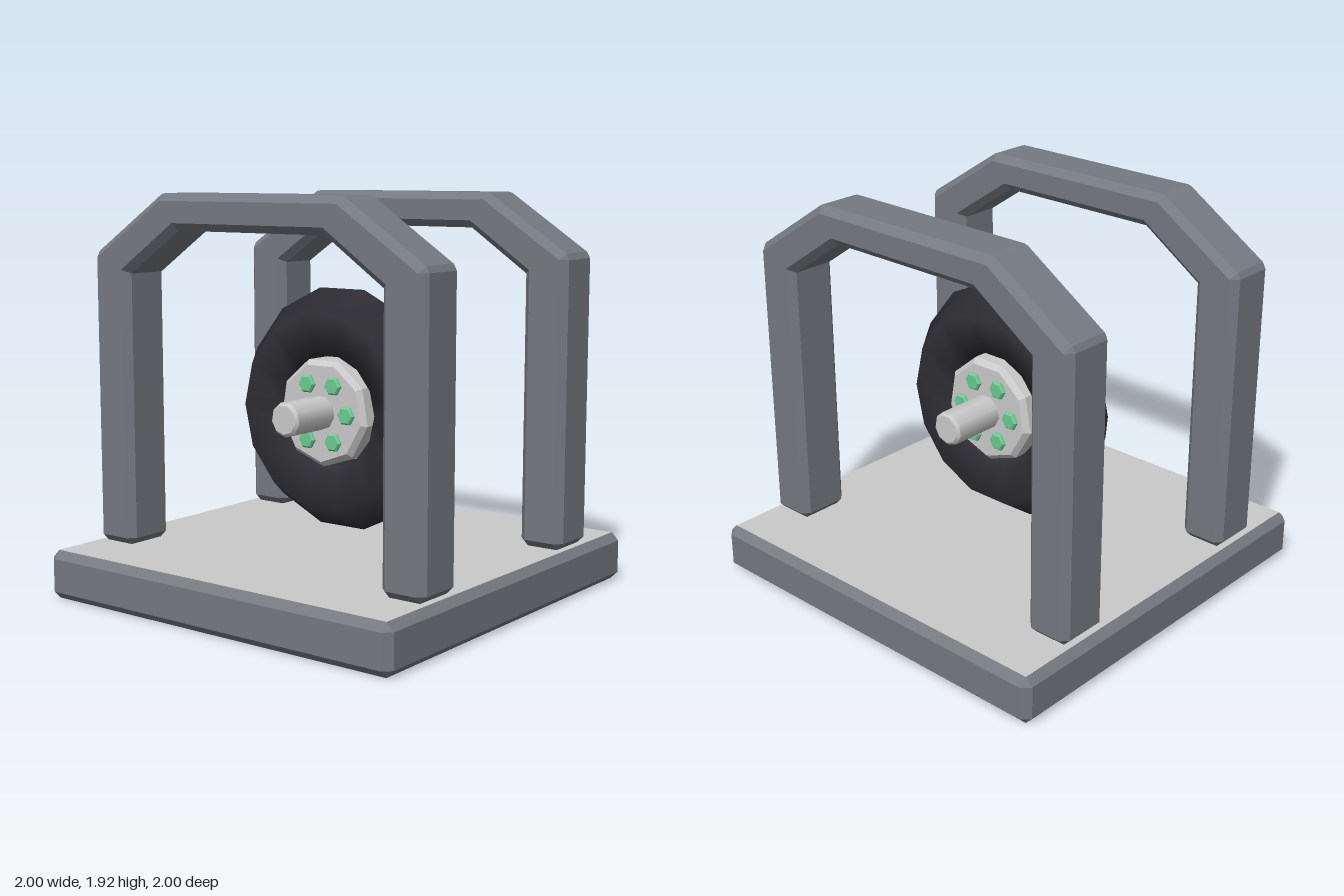
import * as THREE from 'three';
import { mergeGeometries } from 'three/addons/utils/BufferGeometryUtils.js';

const makeMaterial = (name, color) => {
  const m = new THREE.MeshStandardMaterial({ color });
  m.name = name;
  return m;
};

// Prism along z with every edge chamfered by b. The counter-clockwise outline is
// that of the flat caps; group 0 holds the caps, group 1 the sides and chamfers.
function bevelledPrism(outline, depth, b) {
  const pts = outline.map(([x, y]) => new THREE.Vector2(x, y));
  const n = pts.length, d = depth / 2, side = d - b;
  const normals = pts.map((p, i) => {
    const e = pts[(i + 1) % n].clone().sub(p).normalize();
    return new THREE.Vector2(e.y, -e.x);
  });
  // Convex corners split in two, concave corners stay mitred
  const corners = pts.map((p, i) => {
    const a = normals[(i + n - 1) % n], c = normals[i];
    if (a.cross(c) > 0) return [p.clone().addScaledVector(a, b), p.clone().addScaledVector(c, b)];
    const m = p.clone().addScaledVector(a.clone().add(c), b / (1 + a.dot(c)));
    return [m, m];
  });
  const pos = [];
  const tri = (...v) => v.forEach(([p, z]) => pos.push(p.x, p.y, z));
  const quad = (a, c, e, f) => { tri(a, c, e); tri(a, e, f); };

  for (const [i, j, k] of THREE.ShapeUtils.triangulateShape(pts, [])) {
    tri([pts[i], d], [pts[j], d], [pts[k], d]);
    tri([pts[k], -d], [pts[j], -d], [pts[i], -d]);
  }
  const capCount = pos.length / 3;
  for (let i = 0; i < n; i++) {
    const j = (i + 1) % n, p = pts[i], q = pts[j];
    const a = corners[i][1], c = corners[j][0], o = corners[i][0];
    quad([a, -side], [c, -side], [c, side], [a, side]);
    quad([a, side], [c, side], [q, d], [p, d]);
    quad([p, -d], [q, -d], [c, -side], [a, -side]);
    if (o !== a) {
      quad([o, -side], [a, -side], [a, side], [o, side]);
      tri([o, side], [a, side], [p, d]);
      tri([p, -d], [a, -side], [o, -side]);
    }
  }
  const g = new THREE.BufferGeometry();
  g.setAttribute('position', new THREE.Float32BufferAttribute(pos, 3));
  g.computeVertexNormals();
  g.addGroup(0, capCount, 0);
  g.addGroup(capCount, pos.length / 3 - capCount, 1);
  return g;
}

// Cylinder along z with chamfered rims
function bevelledCylinder(r, length, b, sides, start, flat) {
  const parts = [
    new THREE.CylinderGeometry(r, r, length - 2 * b, sides, 1, true, start),
    new THREE.CylinderGeometry(r - b, r, b, sides, 1, false, start).translate(0, (length - b) / 2, 0),
    new THREE.CylinderGeometry(r, r - b, b, sides, 1, false, start).translate(0, (b - length) / 2, 0),
  ];
  let g = mergeGeometries(parts).rotateX(Math.PI / 2);
  if (flat) {
    g = g.toNonIndexed();
    g.computeVertexNormals();
  }
  return g;
}

export function createModel() {
  const frameGrey = makeMaterial('frame grey', 0x757a81);
  const lightGrey = makeMaterial('light grey', 0xcacaca);
  const rubber = makeMaterial('black rubber', 0x2f2e34);
  const green = makeMaterial('nut green', 0x6ccb92);

  const model = new THREE.Group();
  model.name = 'wheelStand';
  const add = (parent, name, geometry, material) => {
    const mesh = new THREE.Mesh(geometry, material);
    mesh.name = name;
    parent.add(mesh);
    return mesh;
  };

  // Base slab with light top and bottom
  const h = 0.963;
  const slab = bevelledPrism([[-h, -h], [h, -h], [h, h], [-h, h]], 0.235, 0.037);
  slab.rotateX(-Math.PI / 2).translate(0, 0.1175, 0);
  add(model, 'base', slab, [lightGrey, frameGrey]);

  // Front and back arches, outlined from the right half
  const half = [[0.768, 0.27], [0.926, 0.27], [0.926, 1.617], [0.51, 1.89]];
  const inner = [[0.437, 1.79], [0.768, 1.565]];
  const mirror = (list) => list.map(([x, y]) => [-x, y]).reverse();
  const outline = [...half, ...mirror(half), ...mirror(inner), ...inner];
  // Order the opening from the left leg back to the right leg
  outline.splice(8, 4, [-0.768, 1.565], [-0.437, 1.79], [0.437, 1.79], [0.768, 1.565]);
  for (const [name, z] of [['frontArch', 0.573], ['backArch', -0.573]]) {
    add(model, name, bevelledPrism(outline, 0.27, 0.035), [frameGrey, frameGrey]).position.z = z;
  }

  // Wheel
  const wheel = new THREE.Group();
  wheel.name = 'wheel';
  wheel.position.y = 0.89;
  model.add(wheel);
  add(wheel, 'tyre', new THREE.TorusGeometry(0.415, 0.179, 5, 14), rubber);
  add(wheel, 'hub', bevelledCylinder(0.263, 0.335, 0.025, 9, 0, true), lightGrey);
  add(wheel, 'axle', bevelledCylinder(0.083, 0.885, 0.014, 9, 0, false), lightGrey);

  // Ring of nuts on each side of the hub
  for (const side of [1, -1]) {
    for (let i = 0; i < 6; i++) {
      const a = (i * Math.PI) / 3;
      const nut = add(wheel, 'nut', bevelledCylinder(0.047, 0.05, 0.009, 6, Math.PI / 6, true), green);
      nut.position.set(0.155 * Math.cos(a), 0.155 * Math.sin(a), side * 0.161);
    }
  }
  return model;
}
